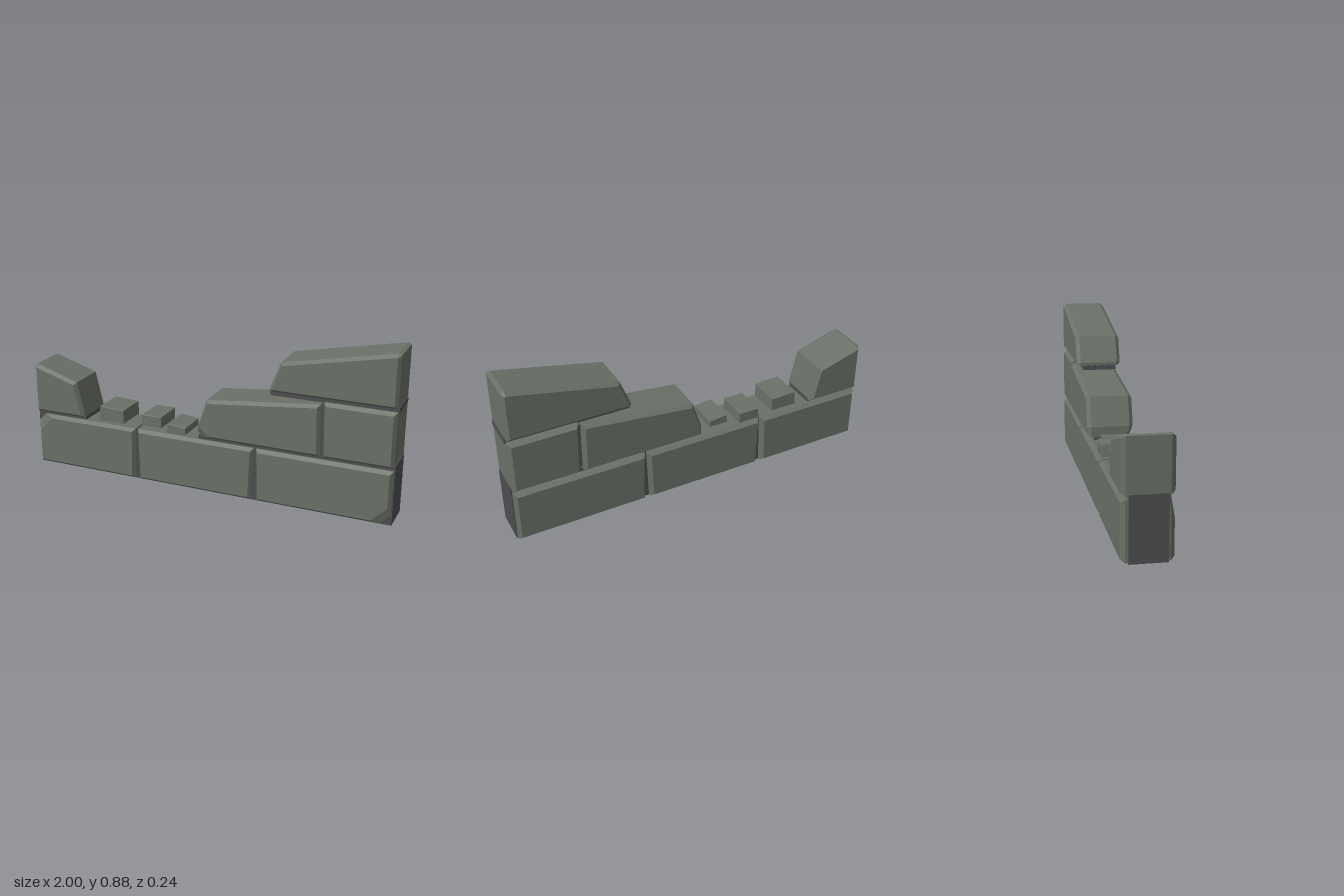
import * as THREE from 'three';

const stone = new THREE.MeshStandardMaterial({ color: 0x6a7067 });
stone.name = 'mossy grey stone';
const mortar = new THREE.MeshStandardMaterial({ color: 0x4e4d4f });
mortar.name = 'dark mortar';

// Moves every edge of a convex counter-clockwise outline inward by d
function inset(pts, d) {
  const n = pts.length;
  return pts.map((p, i) => {
    const a = pts[(i + n - 1) % n], b = pts[(i + 1) % n];
    const u = new THREE.Vector2(p[0] - a[0], p[1] - a[1]).normalize();
    const v = new THREE.Vector2(b[0] - p[0], b[1] - p[1]).normalize();
    const k = d / (1 + u.dot(v));
    return [p[0] - (u.y + v.y) * k, p[1] + (u.x + v.x) * k];
  });
}

// Splits one corner in two, slid along its edges by c
function cutCorner(pts, i, c) {
  const n = pts.length, p = pts[i];
  const slide = (q) => {
    const l = Math.hypot(q[0] - p[0], q[1] - p[1]);
    return [p[0] + (q[0] - p[0]) * c / l, p[1] + (q[1] - p[1]) * c / l];
  };
  return [...pts.slice(0, i), slide(pts[(i + n - 1) % n]), slide(pts[(i + 1) % n]), ...pts.slice(i + 1)];
}

// Faceted stone lofted from back to front, with bevelled rims and an optional chipped front corner
function block(name, pts, { z0 = -0.12, z1 = 0.12, bevel = 0.02, chip = -1, chipSize = 0.08 } = {}) {
  const rim = bevel * 0.75;
  const layers = [
    [z0, rim, 0], [z0 + bevel, 0, 0], [z1 - bevel * 3, 0, 0],
    [z1 - bevel, 0, chipSize * 0.6], [z1, rim, chipSize],
  ].map(([z, d, c]) => {
    let ring = inset(pts, d);
    if (chip >= 0) ring = cutCorner(ring, chip, c);
    return ring.map(([x, y]) => new THREE.Vector3(x, y, z));
  });
  const pos = [];
  const tri = (a, b, c) => {
    const area = b.clone().sub(a).cross(c.clone().sub(a)).length();
    if (area > 1e-9) for (const p of [a, b, c]) pos.push(p.x, p.y, p.z);
  };
  const n = layers[0].length, back = layers[0], front = layers[layers.length - 1];
  for (let k = 0; k < layers.length - 1; k++) {
    for (let i = 0; i < n; i++) {
      const j = (i + 1) % n, A = layers[k], B = layers[k + 1];
      tri(A[i], A[j], B[j]);
      tri(A[i], B[j], B[i]);
    }
  }
  for (let i = 1; i < n - 1; i++) {
    tri(front[0], front[i], front[i + 1]);
    tri(back[0], back[i + 1], back[i]);
  }
  const g = new THREE.BufferGeometry();
  g.setAttribute('position', new THREE.Float32BufferAttribute(pos, 3));
  g.computeVertexNormals();
  const mesh = new THREE.Mesh(g, stone);
  mesh.name = name;
  return mesh;
}

function mortarBed(name, x0, x1, y0, y1) {
  const mesh = new THREE.Mesh(new THREE.BoxGeometry(x1 - x0, y1 - y0, 0.178), mortar);
  mesh.position.set((x0 + x1) / 2, (y0 + y1) / 2, 0.004);
  mesh.name = name;
  return mesh;
}

export function createModel() {
  const wall = new THREE.Group();
  wall.name = 'ruinedWall';

  // Mortar core and the beds between courses
  wall.add(
    mortarBed('mortarCore', -1, 1, 0, 0.28),
    mortarBed('leftBed', -1, -0.7, 0.28, 0.312),
    mortarBed('rightBed', -0.03, 1, 0.28, 0.312),
    mortarBed('upperBed', 0.36, 1, 0.585, 0.612),
    mortarBed('secondCourseJoint', 0.6, 0.66, 0.32, 0.57),
  );

  // Bottom course
  wall.add(
    block('bottomRightStone', [[-0.995, 0.005], [-0.4, 0.005], [-0.392, 0.29], [-0.995, 0.29]], { chip: 3 }),
    block('bottomMiddleStone', [[-0.372, 0.005], [0.27, 0.005], [0.28, 0.29], [-0.38, 0.29]]),
    block('bottomLeftStone', [[0.3, 0.005], [0.995, 0.005], [0.995, 0.29], [0.292, 0.29]], { chip: 1 }),
  );

  // Second course, with broken slopes towards the gap
  wall.add(
    block('brokenEndStone', [[-1, 0.305], [-0.7, 0.305], [-0.705, 0.33], [-0.745, 0.5], [-0.985, 0.575], [-1, 0.57]]),
    block('brokenMiddleStone', [[-0.03, 0.305], [0.627, 0.305], [0.622, 0.577], [0.02, 0.512], [-0.03, 0.36]], { chip: 0, chipSize: 0.05 }),
    block('secondCourseEndStone', [[0.645, 0.305], [0.995, 0.305], [0.995, 0.59], [0.638, 0.59]]),
  );

  // Top stone
  wall.add(block('topStone', [[0.36, 0.607], [0.995, 0.607], [0.995, 0.87], [0.975, 0.876], [0.415, 0.763], [0.36, 0.625]]));

  // Loose rubble in the gap
  const rubble = [
    [[[-0.622, 0.3], [-0.47, 0.3], [-0.47, 0.374], [-0.612, 0.38]], -0.085, 0.09],
    [[[-0.38, 0.3], [-0.258, 0.3], [-0.258, 0.36], [-0.37, 0.36]], -0.105, 0.065],
    [[[-0.21, 0.3], [-0.1, 0.3], [-0.1, 0.337], [-0.2, 0.348]], -0.065, 0.105],
  ];
  rubble.forEach(([pts, z0, z1], i) => wall.add(block('rubble' + (i + 1), pts, { z0, z1, bevel: 0.003 })));

  return wall;
}
